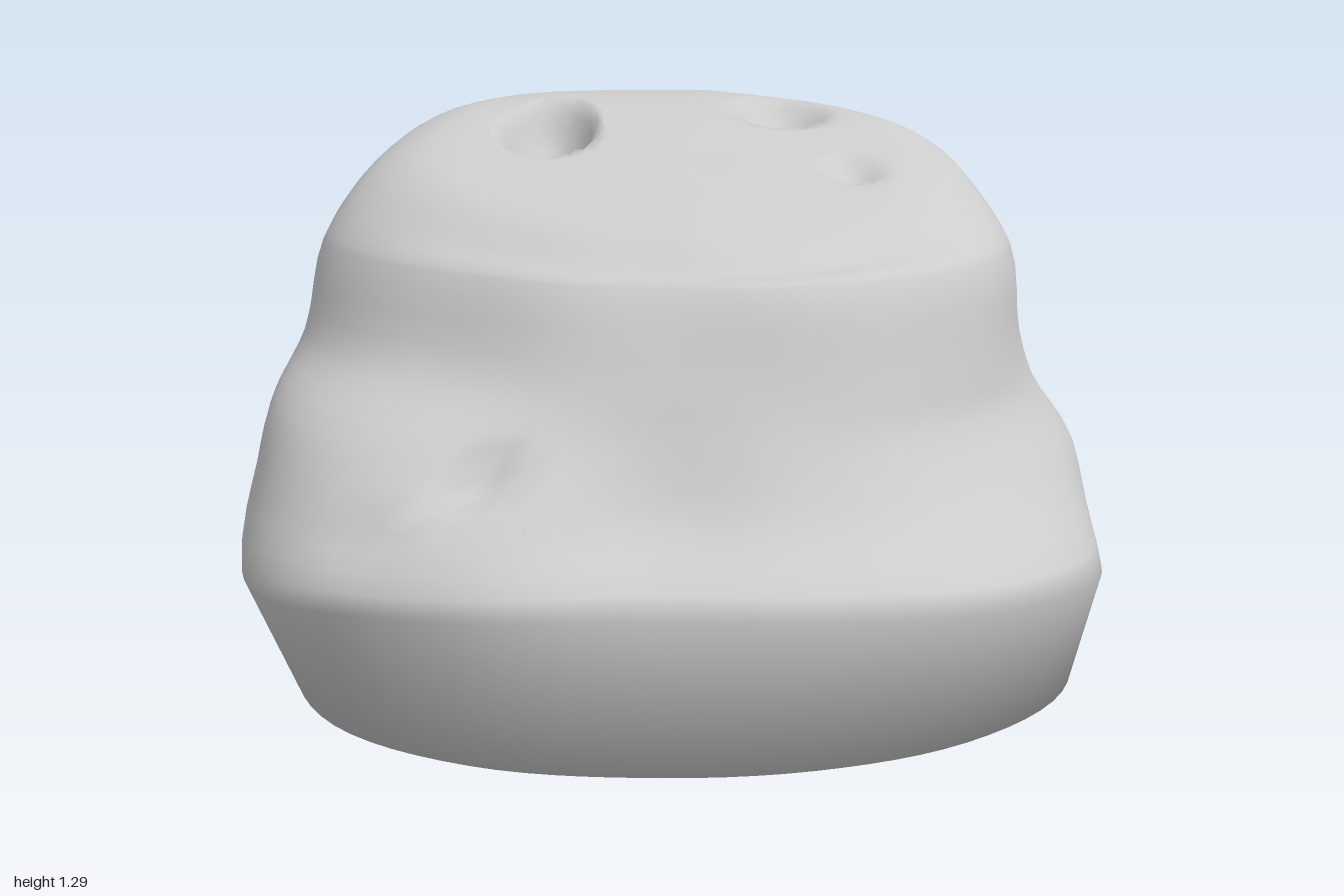
import * as THREE from 'three';
import { mergeVertices } from 'three/addons/utils/BufferGeometryUtils.js';

// Radii of each level at 16 compass points, from +x turning towards +z
const LEVELS = [
  { y: 0.00, tilt: 0.00, r: [.95, .98, .95, .91, .90, .94, .97, .93, .87, .90, .94, .85, .83, .90, 1.02, 1.01] },
  { y: 0.24, tilt: 0.10, r: [.99, 1.05, 1.03, .95, .92, 1.01, 1.10, 1.04, 1.0, 1.0, 1.02, .93, .95, .98, 1.07, 1.05] },
  { y: 0.48, tilt: 0.00, r: [.96, .92, .86, .79, .76, .92, 1.03, 1.0, .98, .97, .97, .90, .92, .92, 1.02, .99] },
  { y: 0.63, tilt: 0.00, r: [.86, .81, .75, .70, .68, .76, .91, .94, .95, .93, .93, .87, .85, .86, .95, .90] },
  { y: 0.75, tilt: 0.00, r: [.82, .78, .71, .65, .63, .65, .70, .81, .90, .90, .90, .86, .84, .82, .89, .86] },
  { y: 0.96, tilt: -0.02, r: [.79, .73, .64, .58, .53, .55, .60, .72, .85, .87, .86, .83, .81, .77, .79, .81] },
];

// Pits: centre, size along x, y, z and the push into the rock
const PITS = [
  { c: [-.32, 1.22, -.15], s: [.12, .4, .16], push: [0, -.13, -.05] },
  { c: [.24, 1.22, -.30], s: [.12, .4, .12], push: [0, -.08, 0] },
  { c: [.42, 1.02, 0], s: [.08, .4, .07], push: [0, -.04, 0] },
  { c: [-.36, .55, .70], s: [.08, .09, .14], push: [.02, -.04, -.06] },
  { c: [-.58, .46, .76], s: [.06, .05, .14], push: [.01, -.01, -.03] },
];

// Smooth interpolation around a closed list
function around(list, u) {
  const n = list.length, i = Math.floor(u), t = u - i;
  const [a, b, c, d] = [-1, 0, 1, 2].map(k => list[(i + k + n) % n]);
  return b + 0.5 * t * (c - a + t * (2 * a - 5 * b + 4 * c - d + t * (3 * (b - c) + d - a)));
}

// Sloping top: low at the front, flattening at the back, dropping slightly to the left
function topHeight(x, z) {
  const slope = z > -0.3 ? 1.165 - 0.35 * z : 1.27 + 0.02 * Math.sin((-0.3 - z) * 8);
  return slope - 0.07 * Math.max(0, x - 0.05);
}

// Profile of the rock at one compass point, from the base to the middle of the top
function column(angle) {
  const u = angle / (Math.PI * 2) * 16;
  const cos = Math.cos(angle), sin = Math.sin(angle);
  const points = LEVELS.map(({ y, tilt, r }) => {
    const radius = around(r, u);
    return new THREE.Vector3(cos * radius, y + tilt * sin, sin * radius);
  });
  const rim = points[points.length - 1];
  // The shoulder is fuller at the back than at the front
  for (const [scale, rise] of [[.88, .64 - .15 * sin], [.73, .95], [.5, 1], [.25, 1], [0, 1]]) {
    const x = rim.x * scale, z = rim.z * scale;
    points.push(new THREE.Vector3(x, THREE.MathUtils.lerp(rim.y, topHeight(x, z), rise), z));
  }
  return new THREE.CatmullRomCurve3(points);
}

function dent(p) {
  for (const { c, s, push } of PITS) {
    const d = Math.hypot((p.x - c[0]) / s[0], (p.y - c[1]) / s[1], (p.z - c[2]) / s[2]);
    if (d >= 1) continue;
    const k = 1 - d * d;
    p.x += push[0] * k;
    p.y += push[1] * k;
    p.z += push[2] * k;
  }
  return p;
}

function rockGeometry() {
  const sides = 96, steps = [0];
  for (let s = 1; s < 5; s += 0.25) steps.push(s);
  for (let s = 5; s <= 10; s += 0.125) steps.push(s);

  const positions = [], index = [];
  for (let j = 0; j < sides; j++) {
    const curve = column(j / sides * Math.PI * 2);
    for (const s of steps) positions.push(...dent(curve.getPoint(s / 10)).toArray());
  }
  // Sides and top
  const rows = steps.length;
  for (let j = 0; j < sides; j++) {
    const a = j * rows, b = ((j + 1) % sides) * rows;
    for (let i = 0; i < rows - 1; i++) {
      index.push(a + i, a + i + 1, b + i);
      if (i < rows - 2) index.push(b + i, a + i + 1, b + i + 1);
    }
  }
  // Flat underside, sharing the edge with the sides so it shades softly
  const centre = positions.length / 3;
  positions.push(0, 0, 0);
  for (let j = 0; j < sides; j++) index.push(centre, j * rows, ((j + 1) % sides) * rows);

  let geometry = new THREE.BufferGeometry();
  geometry.setAttribute('position', new THREE.Float32BufferAttribute(positions, 3));
  geometry.setIndex(index);
  geometry = mergeVertices(geometry, 1e-5);
  geometry.computeVertexNormals();
  return geometry;
}

export function createModel() {
  const group = new THREE.Group();
  group.name = 'boulder';
  const rock = new THREE.Mesh(rockGeometry(), new THREE.MeshStandardMaterial({ color: 0xcccccc }));
  rock.name = 'rock';
  group.add(rock);
  return group;
}
